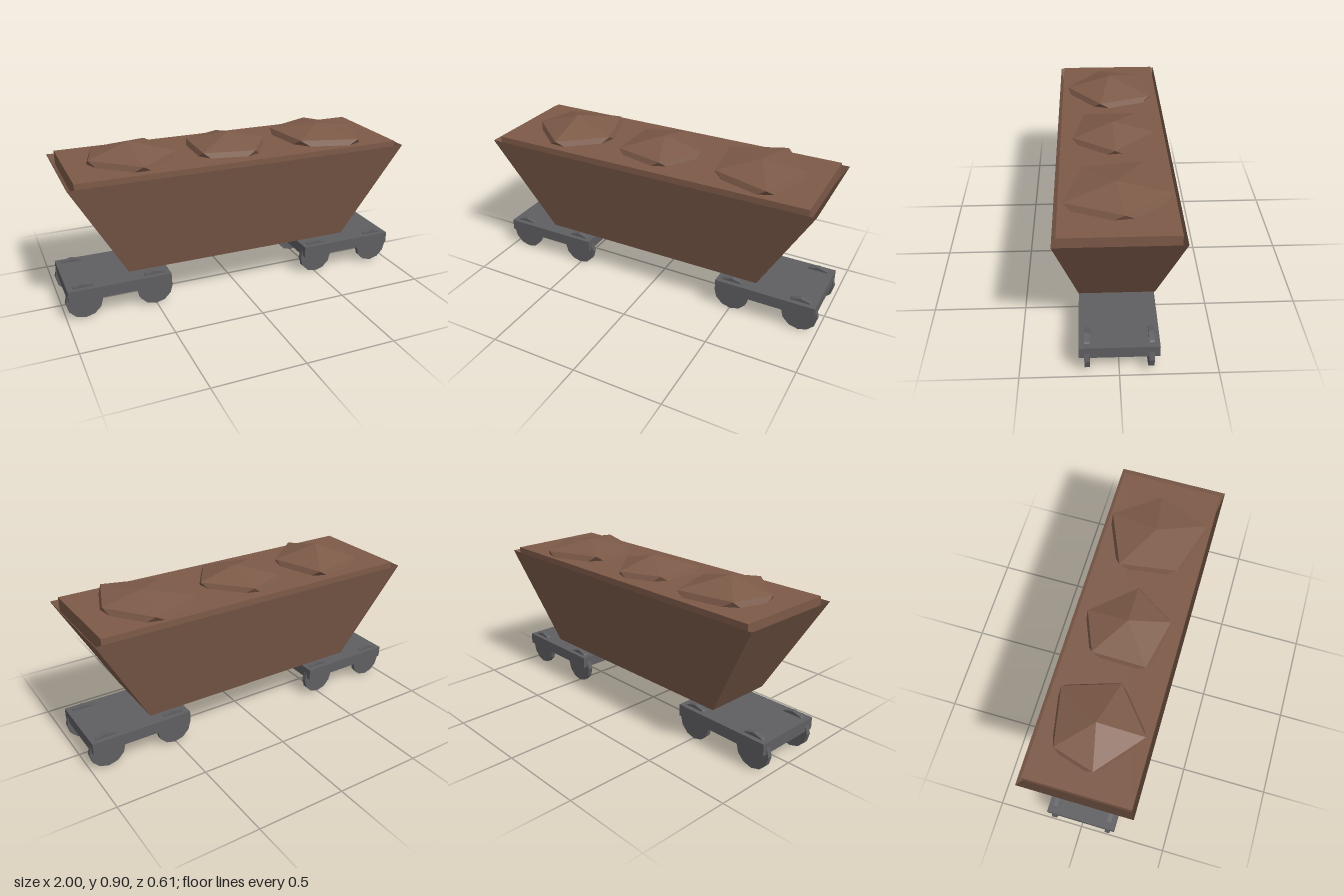
import * as THREE from 'three';

const brown = new THREE.MeshStandardMaterial({ color: 0x7a5948, flatShading: true, side: THREE.DoubleSide });
brown.name = 'rusty brown';
const ore = new THREE.MeshStandardMaterial({ color: 0x7d5a48, flatShading: true });
ore.name = 'ore brown';
const steel = new THREE.MeshStandardMaterial({ color: 0x5f5f62, flatShading: true });
steel.name = 'dark steel';

function mesh(name, geometry, material, x = 0, y = 0, z = 0) {
  const m = new THREE.Mesh(geometry, material);
  m.name = name;
  m.position.set(x, y, z);
  return m;
}

// Surface through stacked rings of [x, y, z] points; rings run anticlockwise seen from above.
function loft(rings) {
  const pos = [];
  const tri = (a, b, c) => pos.push(...a, ...b, ...c);
  for (let r = 0; r < rings.length - 1; r++) {
    const lo = rings[r], hi = rings[r + 1], n = lo.length;
    for (let i = 0; i < n; i++) {
      const j = (i + 1) % n;
      tri(lo[i], lo[j], hi[j]);
      tri(lo[i], hi[j], hi[i]);
    }
  }
  const g = new THREE.BufferGeometry();
  g.setAttribute('position', new THREE.Float32BufferAttribute(pos, 3));
  g.computeVertexNormals();
  return g;
}

const rect = (x, y, z) => [[-x, y, z], [x, y, z], [x, y, -z], [-x, y, -z]];

// Faceted lump: apex, irregular five-point shoulder, and a twisted lower ring sunk in the load
function lumpGeometry(shoulder, ringY, apexY) {
  const pos = [];
  const tri = (a, b, c) => pos.push(...a, ...b, ...c);
  const upper = shoulder.map(([x, z]) => [x, ringY, z]);
  const lower = upper.map((p, i) => {
    const q = upper[(i + 1) % 5];
    return [(p[0] + q[0]) * 0.6, 0.74, (p[2] + q[2]) * 0.6];
  });
  for (let i = 0; i < 5; i++) {
    const j = (i + 1) % 5;
    tri([0, apexY, 0], upper[i], upper[j]);
    tri(upper[i], lower[i], upper[j]);
    tri(upper[j], lower[i], lower[j]);
    tri([0, 0.74, 0], lower[j], lower[i]);
  }
  const g = new THREE.BufferGeometry();
  g.setAttribute('position', new THREE.Float32BufferAttribute(pos, 3));
  g.computeVertexNormals();
  return g;
}

// Bogie: flat frame with four wheels poking through it
function bogie(name, x) {
  const g = new THREE.Group();
  g.name = name;
  g.position.x = x;
  g.add(mesh('bogieFrame', new THREE.BoxGeometry(0.57, 0.065, 0.4), steel, 0, 0.15, 0));
  const wheel = new THREE.CylinderGeometry(0.101, 0.101, 0.027, 12).rotateX(Math.PI / 2);
  for (const sx of [-1, 1])
    for (const sz of [-1, 1])
      g.add(mesh('wheel', wheel, steel, sx * 0.197, 0.102, sz * 0.16));
  return g;
}

export function createModel() {
  const model = new THREE.Group();
  model.name = 'oreWagon';

  // Open tapered hopper with a closed floor
  model.add(mesh('hopperWalls', loft([rect(0.655, 0.24, 0.199), rect(0.96, 0.785, 0.306)]), brown));
  model.add(mesh('hopperFloor', new THREE.PlaneGeometry(1.31, 0.398).rotateX(Math.PI / 2), brown, 0, 0.24, 0));

  // Load surface standing just above the rim
  model.add(mesh('loadBed', new THREE.BoxGeometry(1.84, 0.078, 0.57), ore, 0, 0.769, 0));

  // Ore lumps: centre x, shoulder height, apex height, shoulder points [x, z]
  const lumps = [
    [-0.57, 0.838, 0.905, [[0.15, -0.235], [-0.165, -0.175], [-0.23, 0.05], [0.01, 0.255], [0.245, 0.06]]],
    [0, 0.836, 0.893, [[0.02, -0.23], [-0.2, -0.14], [-0.205, 0.155], [0.075, 0.215], [0.22, -0.005]]],
    [0.57, 0.839, 0.879, [[0.055, -0.27], [-0.24, -0.145], [-0.195, 0.165], [0.12, 0.26], [0.232, -0.03]]],
  ];
  for (const [x, ringY, apexY, shoulder] of lumps)
    model.add(mesh('oreLump', lumpGeometry(shoulder, ringY, apexY), ore, x));

  model.add(bogie('leftBogie', 0.702), bogie('rightBogie', -0.702));
  return model;
}
